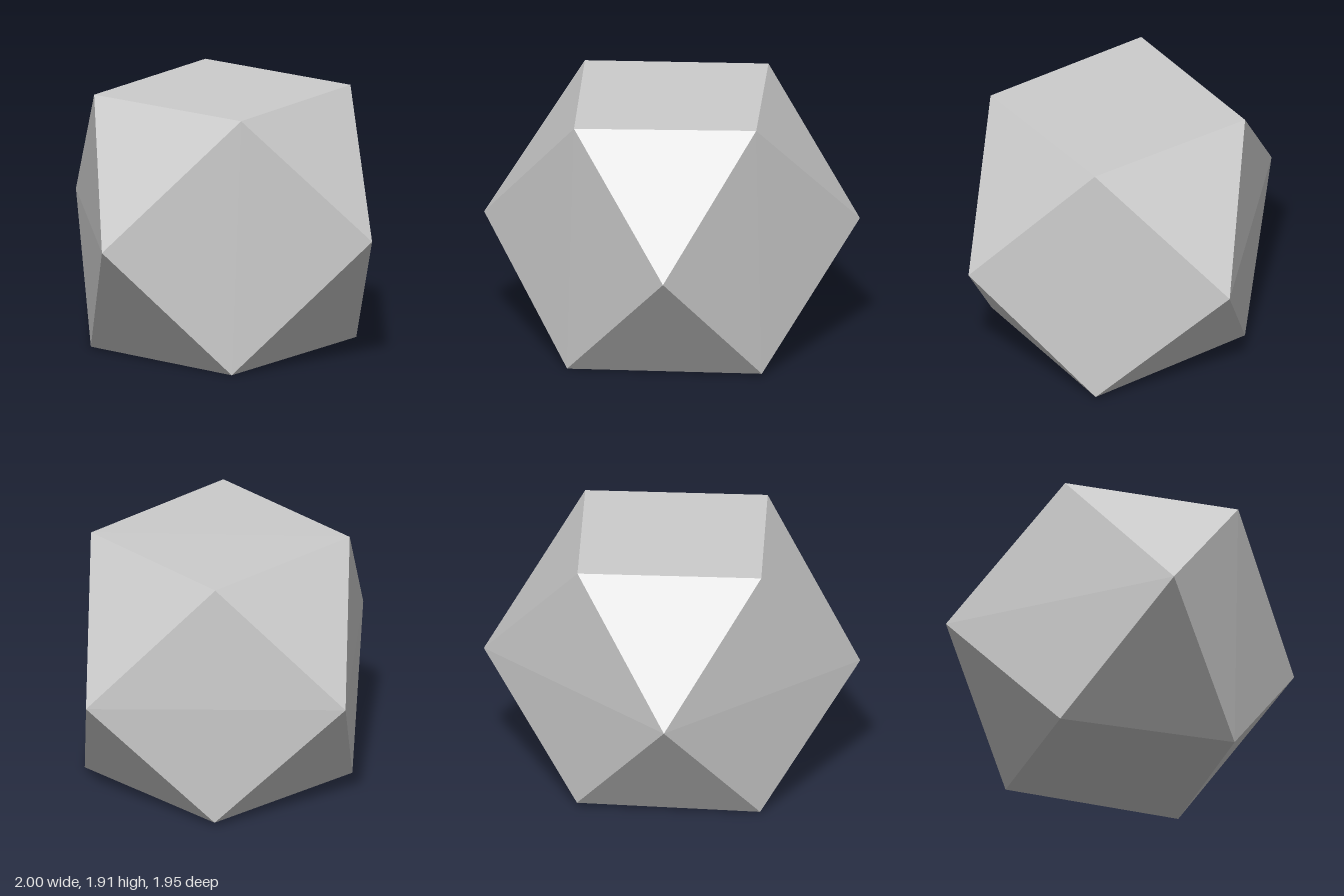
import * as THREE from 'three';
import { ConvexGeometry } from 'three/addons/geometries/ConvexGeometry.js';

export function createModel() {
  const group = new THREE.Group();
  group.name = 'cuboctahedron';

  const grey = new THREE.MeshStandardMaterial({ color: 0xcccccc });
  grey.name = 'stone grey';

  // Slightly uneven cuboctahedron: one corner near each cube edge midpoint
  const corners = [
    // top ring
    [0.02, 1.90, 0.97], [0.955, 1.915, 0.025], [0.02, 1.915, -0.915], [-0.93, 1.905, 0.03],
    // middle ring
    [0.985, 0.96, 0.955], [0.96, 0.97, -0.975], [-0.93, 0.97, -0.935], [-1.0, 0.94, 0.945],
    // bottom ring
    [-0.05, 0.0, 0.975], [1.0, 0.02, 0.01], [0.025, 0.035, -0.915], [-0.95, 0.01, 0.0],
  ].map((c) => new THREE.Vector3(...c));

  // Flat-faced hull over the twelve corners
  const body = new THREE.Mesh(new ConvexGeometry(corners), grey);
  body.name = 'body';
  group.add(body);

  return group;
}
